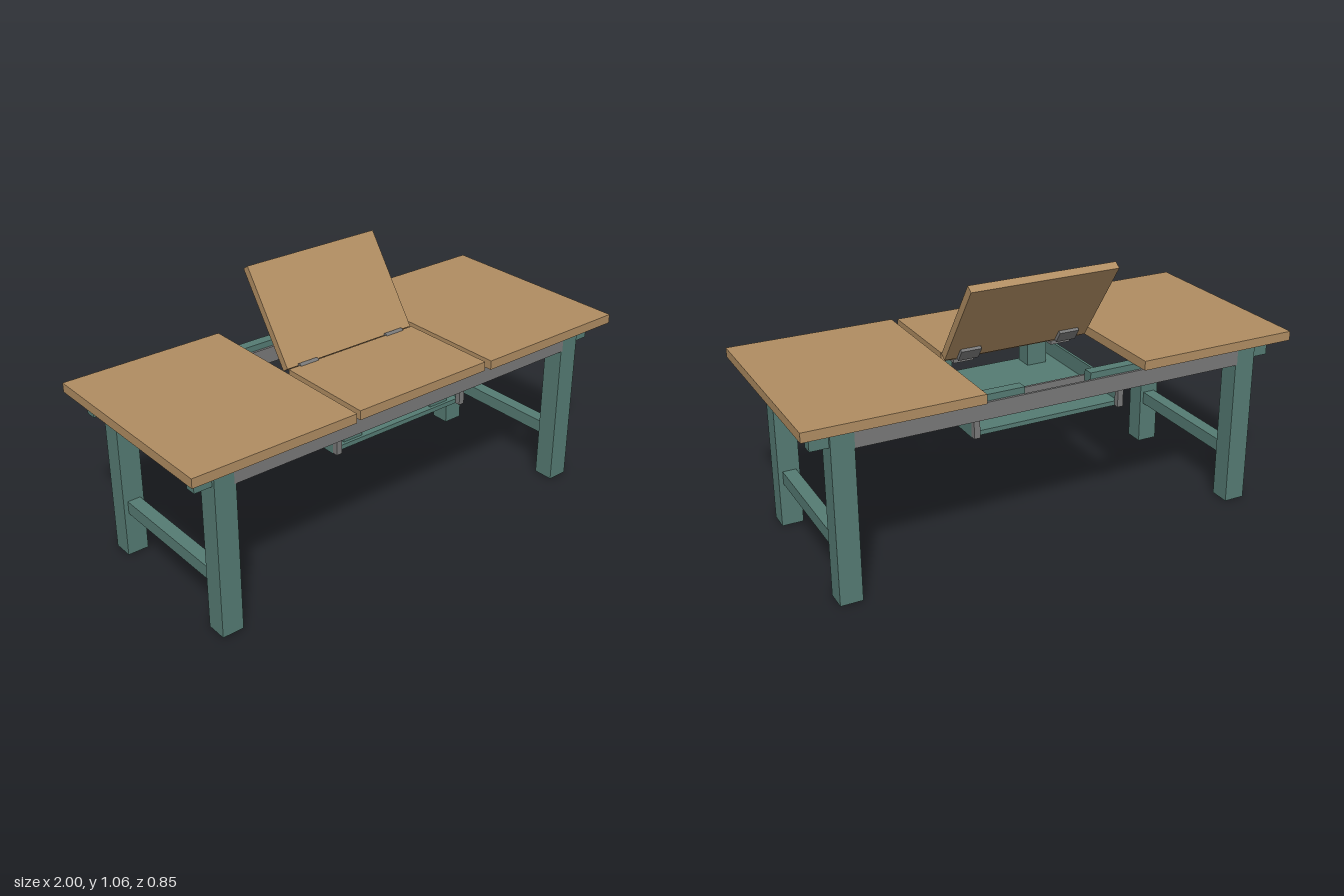
import * as THREE from 'three';

export function createModel() {
  const table = new THREE.Group();
  table.name = 'extendingTable';

  const wood = new THREE.MeshStandardMaterial({ color: 0xb08d62 });
  const paint = new THREE.MeshStandardMaterial({ color: 0x557b73 });
  const metal = new THREE.MeshStandardMaterial({ color: 0x787878 });

  // Box given by its extents along each axis
  function box(name, material, [x0, x1], [y0, y1], [z0, z1], parent = table) {
    const mesh = new THREE.Mesh(new THREE.BoxGeometry(Math.abs(x1 - x0), y1 - y0, Math.abs(z1 - z0)), material);
    mesh.position.set((x0 + x1) / 2, (y0 + y1) / 2, (z0 + z1) / 2);
    mesh.name = name;
    parent.add(mesh);
    return mesh;
  }

  // Raised leaf: pivots on the hinge line, lying towards -z before it is turned up
  const raisedLeaf = new THREE.Group();
  raisedLeaf.name = 'raisedLeaf';
  raisedLeaf.position.set(0, 0.725, -0.003);
  raisedLeaf.rotation.x = THREE.MathUtils.degToRad(55);
  table.add(raisedLeaf);
  box('raisedLeafBoard', wood, [-0.303, 0.303], [-0.032, 0], [-0.41, 0], raisedLeaf);

  // Flat half of the folding leaf
  box('flatLeafBoard', wood, [-0.303, 0.303], [0.69, 0.727], [0.004, 0.418]);

  for (const s of [-1, 1]) {
    // Sliding top and end frame
    box('slidingTop', wood, [s * 0.325, s], [0.69, 0.727], [-0.427, 0.427]);
    box('endApron', paint, [s * 0.795, s * 0.875], [0.58, 0.673], [-0.285, 0.285]);
    box('endStretcher', paint, [s * 0.808, s * 0.862], [0.182, 0.235], [-0.285, 0.285]);

    // Tray sides
    box('traySide', paint, [s * 0.305, s * 0.316], [0.497, 0.582], [-0.28, 0.28]);

    // Block under the flat leaf
    box('leafSupport', paint, [s * 0.17, s * 0.255], [0.515, 0.69], [0.193, 0.268]);

    // Hinge: one plate under each leaf and a barrel between
    box('hingePlate', metal, [s * 0.168, s * 0.252], [0.675, 0.69], [0, 0.06]);
    box('hingePlate', metal, [s * 0.168, s * 0.252], [-0.045, -0.032], [-0.056, 0], raisedLeaf);
    const barrel = new THREE.Mesh(new THREE.CylinderGeometry(0.012, 0.012, 0.084, 16), metal);
    barrel.rotation.z = Math.PI / 2;
    barrel.position.set(s * 0.21, 0.722, 0.002);
    barrel.name = 'hingeBarrel';
    table.add(barrel);

    for (const t of [-1, 1]) {
      box('leg', paint, [s * 0.793, s * 0.88], [0, 0.675], [t * 0.282, t * 0.366]);
      box('slideRunner', paint, [s * 0.137, s * 0.95], [0.615, 0.69], [t * 0.31, t * 0.353]);
      box('trayHanger', metal, [s * 0.292, s * 0.316], [0.5, 0.625], [t * 0.28, t * 0.302]);
    }
  }

  // Long channel rails that carry the runners
  const outline = new THREE.Shape([
    [-0.034, 0], [0.034, 0], [0.034, 0.066], [0.024, 0.066],
    [0.024, 0.012], [-0.024, 0.012], [-0.024, 0.066], [-0.034, 0.066],
  ].map(([x, y]) => new THREE.Vector2(x, y)));
  for (const t of [-1, 1]) {
    const geometry = new THREE.ExtrudeGeometry(outline, { depth: 1.6, bevelEnabled: false });
    geometry.translate(0, 0, -0.8).rotateY(Math.PI / 2);
    const rail = new THREE.Mesh(geometry, metal);
    rail.position.set(0, 0.6, t * 0.332);
    rail.name = 'channelRail';
    table.add(rail);
  }

  // Tray floor
  box('trayFloor', paint, [-0.306, 0.306], [0.5, 0.518], [-0.28, 0.28]);

  return table;
}
